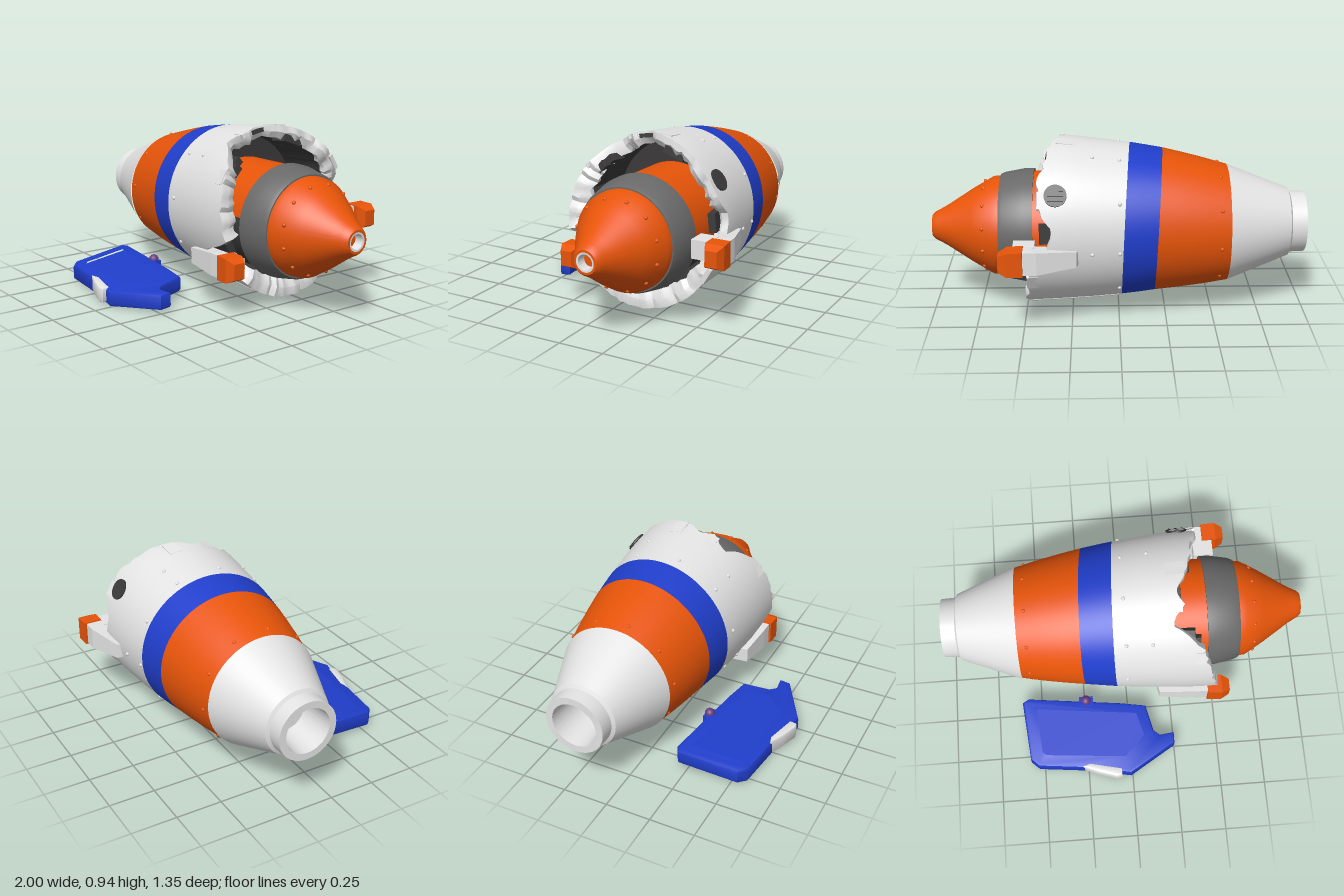
import * as THREE from 'three';
import { toCreasedNormals } from 'three/addons/utils/BufferGeometryUtils.js';
import { ConvexGeometry } from 'three/addons/geometries/ConvexGeometry.js';

const mat = (name, color) => new THREE.MeshStandardMaterial({ name, color });
const ZC = -0.16, SEG = 96;

// Linear lookup in rows of [key, value, value...]
function lookup(rows, k, col = 1) {
  for (let i = 1; i < rows.length; i++) {
    const a = rows[i - 1], b = rows[i];
    if (k <= b[0]) return a[col] + (b[col] - a[col]) * Math.max(0, (k - a[0]) / (b[0] - a[0]));
  }
  return rows[rows.length - 1][col];
}

// Hull stations: x, radius, centre height
const HULL = [[-0.91, 0.185, 0.455], [-0.58, 0.315, 0.46], [-0.4, 0.355, 0.472], [-0.22, 0.385, 0.485],
  [-0.05, 0.41, 0.488], [0.15, 0.43, 0.493], [0.3, 0.443, 0.498], [0.52, 0.449, 0.494]];
// Torn mouth: angle from top towards the front, x of the edge
const EDGE = [[0, 0.33], [8, 0.27], [14, 0.29], [20, 0.33], [27, 0.26], [34, 0.26], [40, 0.32], [52, 0.41], [65, 0.43],
  [90, 0.47], [102, 0.49], [108, 0.42], [112, 0.3], [122, 0.23], [128, 0.4], [135, 0.5], [180, 0.5], [230, 0.48],
  [258, 0.45], [268, 0.36], [278, 0.34], [290, 0.4], [315, 0.42], [330, 0.37], [345, 0.36], [352, 0.34], [360, 0.33]];
// Lip thickness by angle
const LIP = [[0, 0.055], [35, 0.06], [55, 0.085], [100, 0.085], [115, 0.06], [140, 0.085], [220, 0.085], [260, 0.06], [360, 0.055]];

// Point on the hull at x, angle a, offset out by d
function hullPoint(x, a, d = 0) {
  const r = lookup(HULL, x) + d;
  return [x, lookup(HULL, x, 2) + r * Math.cos(a), ZC + r * 0.98 * Math.sin(a)];
}

// Skin a list of rings, each a function angle -> [x, y, z]
function loft(rings, crease = 0.6) {
  const pos = [], idx = [];
  for (const ring of rings) for (let j = 0; j < SEG; j++) pos.push(...ring(j / SEG * Math.PI * 2, j));
  for (let i = 0; i + 1 < rings.length; i++) for (let j = 0; j < SEG; j++) {
    const k = (j + 1) % SEG, a = i * SEG + j, b = i * SEG + k;
    idx.push(a, b, a + SEG, b, b + SEG, a + SEG);
  }
  const g = new THREE.BufferGeometry();
  g.setAttribute('position', new THREE.Float32BufferAttribute(pos, 3));
  g.setIndex(idx);
  return toCreasedNormals(g, crease);
}
const circle = (x, r, cy) => a => [x, cy + r * Math.cos(a), ZC + r * Math.sin(a)];

export function createModel() {
  const root = new THREE.Group();
  const white = mat('white', 0xe4e4e4), orange = mat('orange', 0xeb5609), blue = mat('blue', 0x203ecb);
  const grey = mat('grey', 0x696969), dark = mat('darkInterior', 0x3c3a3a), purple = mat('purple', 0x6b3c7c);
  const peach = mat('peach', 0xe8b590);
  const add = (name, geo, m, parent = root) => {
    const mesh = new THREE.Mesh(geo, m);
    mesh.name = name;
    parent.add(mesh);
    return mesh;
  };
  let seed = 11;
  const rnd = () => (seed = (seed * 16807) % 2147483647) / 2147483647;

  // Tail cone with hollow nozzle
  add('tail', loft([[-0.8, 0.001], [-0.8, 0.11], [-1, 0.125], [-1, 0.163], [-0.92, 0.166], [-0.91, 0.185],
    [-0.58, 0.315]].map(([x, r]) => circle(x, r, 0.46))), white);

  // Painted hull bands; joints are slightly skewed
  const skew = (x, s = 1) => a => hullPoint(x - s * (0.017 * Math.cos(a) + 0.02 * Math.sin(a)), a);
  add('orangeBand', loft([skew(-0.58, 0), skew(-0.45, 0), skew(-0.33, 0.5), skew(-0.215)]), orange);
  add('blueBand', loft([skew(-0.215), skew(-0.12), skew(-0.04)]), blue);

  // Torn front shell: outside, thick ragged lip, dark inside
  const jag = [], lip = [];
  for (let j = 0; j < SEG; j++) {
    jag.push(lookup(EDGE, j / SEG * 360) + (rnd() - 0.5) * 0.02);
    lip.push(lookup(LIP, j / SEG * 360) + rnd() * 0.025);
  }
  const torn = (back, depth) => (a, j) => hullPoint(jag[j] - back, a, -depth * lip[j]);
  const along = t => (a, j) => {
    const x0 = skew(-0.04)(a)[0];
    return hullPoint(x0 + (jag[j] - x0) * t, a);
  };
  add('frontShell', loft([0, 0.3, 0.6, 0.85, 1].map(along)), white);
  add('tornLip', loft([torn(0, 0), torn(-0.004, 0.5), torn(0.02, 1), torn(0.06, 0.9)]), white);
  add('shellInterior', loft([torn(0.06, 0.9), a => hullPoint(0.08, a, -0.06), circle(0.06, 0.001, 0.49)]), dark);

  // Torn plates standing up from the lip, and dark wreckage in the bites
  function debris(name, m, list, inset, thick) {
    for (const [deg, x, len, wide] of list) {
      const a = deg * Math.PI / 180;
      const plate = add(name, new THREE.BoxGeometry(len, thick, wide), m);
      plate.position.set(...hullPoint(x, a, -inset));
      plate.rotation.set(a, 0, 0.12);
    }
  }
  debris('tornPlate', white, [[352, 0.28, 0.1, 0.07], [60, 0.38, 0.07, 0.08], [300, 0.38, 0.08, 0.09],
    [240, 0.45, 0.06, 0.09], [20, 0.27, 0.07, 0.06]], 0.012, 0.025);
  debris('wreckage', dark, [[115, 0.34, 0.2, 0.1], [43, 0.32, 0.1, 0.05], [50, 0.36, 0.08, 0.06],
    [276, 0.35, 0.12, 0.1], [340, 0.31, 0.1, 0.12]], 0.07, 0.04);
  debris('mouthGrille', dark, [[10, 0.285, 0.03, 0.09]], 0.022, 0.022);

  // Raised seams on the underside
  for (const deg of [150, 205]) {
    const a = deg * Math.PI / 180;
    const pts = [0, 0.12, 0.24, 0.34, 0.47].map(x => new THREE.Vector3(...hullPoint(x, a, -0.002)));
    add('seam', new THREE.TubeGeometry(new THREE.CatmullRomCurve3(pts), 8, 0.008, 6), white);
  }

  // Capsule inside the shell: dark core, orange upper skin, collar, nose
  const lathe = rows => loft(rows.map(([x, r]) => circle(x, r, 0.45)));
  add('capsuleCore', lathe([[0.1, 0.28], [0.3, 0.284], [0.46, 0.284]]), dark);
  const skin = new THREE.CylinderGeometry(0.292, 0.288, 0.36, 48, 1, true, Math.PI * 1.5 - 1.75, 3.15);
  skin.rotateZ(-Math.PI / 2);
  add('capsuleSkin', skin, orange).position.set(0.28, 0.45, ZC);
  add('capsuleCollar', lathe([[0.45, 0.27], [0.45, 0.306], [0.5, 0.306], [0.61, 0.285], [0.63, 0.275], [0.63, 0.24]]), grey);
  add('noseCone', lathe([[0.62, 0.25], [0.625, 0.268], [0.67, 0.264], [0.78, 0.2], [0.92, 0.11], [0.965, 0.085],
    [0.985, 0.075], [1, 0.062], [1, 0.05]]), orange);
  add('noseBore', lathe([[1, 0.052], [0.999, 0.04], [0.95, 0.036]]), white);
  add('noseBoreEnd', lathe([[0.95, 0.036], [0.95, 0.001]]), orange);

  // Rivets on nose and hull
  const ball = new THREE.SphereGeometry(0.011, 8, 6);
  const rivet = (p, m) => add('rivet', ball, m).position.set(...p);
  for (let i = 0; i < 12; i++) {
    const a = (i + 0.5) / 12 * Math.PI * 2;
    rivet(circle(0.715, 0.237, 0.45)(a), orange);
  }
  for (let i = 0; i < 10; i++) {
    const a = (i + 0.3) / 10 * Math.PI * 2;
    rivet(hullPoint(-0.53, a, -0.003), orange);
    rivet(hullPoint(0.0, a, -0.001), white);
    if (i % 2) rivet(hullPoint(0.14, a, -0.001), white);
  }

  // Round vent on the upper back
  const va = -57 * Math.PI / 180;
  const vent = new THREE.Group();
  vent.name = 'vent';
  vent.position.set(...hullPoint(0.325, va, 0.002));
  vent.rotation.x = va;
  add('ventRecess', new THREE.CylinderGeometry(0.058, 0.058, 0.009, 20), dark, vent);
  for (let i = -1; i <= 1; i++) {
    add('ventSlat', new THREE.BoxGeometry(0.08, 0.008, 0.008), dark, vent).position.set(0, 0.007, i * 0.025);
  }
  root.add(vent);

  // Side pods: tapered white fairing with an orange block at the end
  const hull = list => new ConvexGeometry(list.map(p => new THREE.Vector3(...p)));
  function pod(name, x, y, z, s, taper) {
    const g = new THREE.Group();
    g.name = name;
    g.position.set(x, y, z);
    const fairing = [], block = [];
    for (const h of [-1, 1]) {
      fairing.push([-0.3, h * 0.035, -0.14 * s], [-0.28, h * 0.042, -taper * s], [-0.08, h * 0.06, -0.012 * s],
        [0, h * 0.06, -0.012 * s], [0, h * 0.06, -0.12 * s]);
      block.push([-0.01, h * 0.066, -0.1 * s], [-0.01, h * 0.066, 0], [0.07, h * 0.064, 0.005 * s],
        [0.115, h * 0.042, -0.015 * s], [0.115, h * 0.042, -0.08 * s], [0.07, h * 0.064, -0.1 * s]);
    }
    add('fairing', hull(fairing), white, g);
    add('endBlock', hull(block), orange, g);
    root.add(g);
    return g;
  }
  const frontPod = pod('frontPod', 0.46, 0.265, 0.288, 1, 0.03);
  add('podLens', new THREE.BoxGeometry(0.05, 0.06, 0.055), peach, frontPod).position.set(0.01, 0.005, -0.118);
  const backPod = pod('backPod', 0.5, 0.425, -0.675, -1, 0.07);
  // Strut tying the back pod to the shell
  add('podStrut', new THREE.BoxGeometry(0.11, 0.1, 0.1), white, backPod).position.set(-0.01, 0.01, 0.14);

  // Fallen hatch: sloping slab with a raised rim on both faces
  const outline = [[-0.605, 0.21], [-0.57, 0.19], [-0.05, 0.25], [0.1, 0.275], [0.135, 0.42], [0.17, 0.45], [0.25, 0.44],
    [0.25, 0.5], [-0.01, 0.655], [-0.25, 0.61], [-0.53, 0.58], [-0.575, 0.54]];
  const inner = [[-0.54, 0.24], [0.055, 0.305], [0.095, 0.45], [-0.03, 0.575], [-0.49, 0.535], [-0.52, 0.51]];
  const toPts = l => l.map(([x, z]) => new THREE.Vector2(x, -z));
  function slab(shape, y0, h, bevel) {
    const g = new THREE.ExtrudeGeometry(shape, { depth: h - 2 * bevel, bevelEnabled: bevel > 0, bevelThickness: bevel,
      bevelSize: bevel, bevelOffset: -bevel, bevelSegments: 2 });
    g.rotateX(-Math.PI / 2).translate(0, y0 + bevel, 0);
    const p = g.attributes.position;
    for (let i = 0; i < p.count; i++) p.setY(i, p.getY(i) + 0.115 * (0.66 - p.getZ(i)));
    g.computeVertexNormals();
    return toCreasedNormals(g, 0.7);
  }
  const frame = new THREE.Shape(toPts(outline));
  frame.holes.push(new THREE.Path(toPts(inner)));
  const hatch = new THREE.Group();
  hatch.name = 'hatch';
  add('hatchRim', slab(frame, 0.001, 0.087, 0.014), blue, hatch);
  add('hatchPanel', slab(new THREE.Shape(toPts(inner.map(([x, z]) => [-0.22 + (x + 0.22) * 1.06, 0.4 + (z - 0.4) * 1.16]))),
    0.032, 0.034, 0), blue, hatch);
  // White scuffed corner
  add('hatchScuff', slab(new THREE.Shape(toPts([[-0.29, 0.6], [-0.24, 0.585], [-0.06, 0.625], [-0.06, 0.665],
    [-0.09, 0.672], [-0.2, 0.638]])), 0.01, 0.083, 0.012), white, hatch);
  // Hinge knob on its blue mount
  add('hingeMount', new THREE.BoxGeometry(0.08, 0.04, 0.06), blue, hatch).position.set(-0.24, 0.115, 0.23);
  add('hingeKnob', new THREE.SphereGeometry(0.028, 14, 10), purple, hatch).position.set(-0.24, 0.136, 0.222);
  root.add(hatch);

  return root;
}
